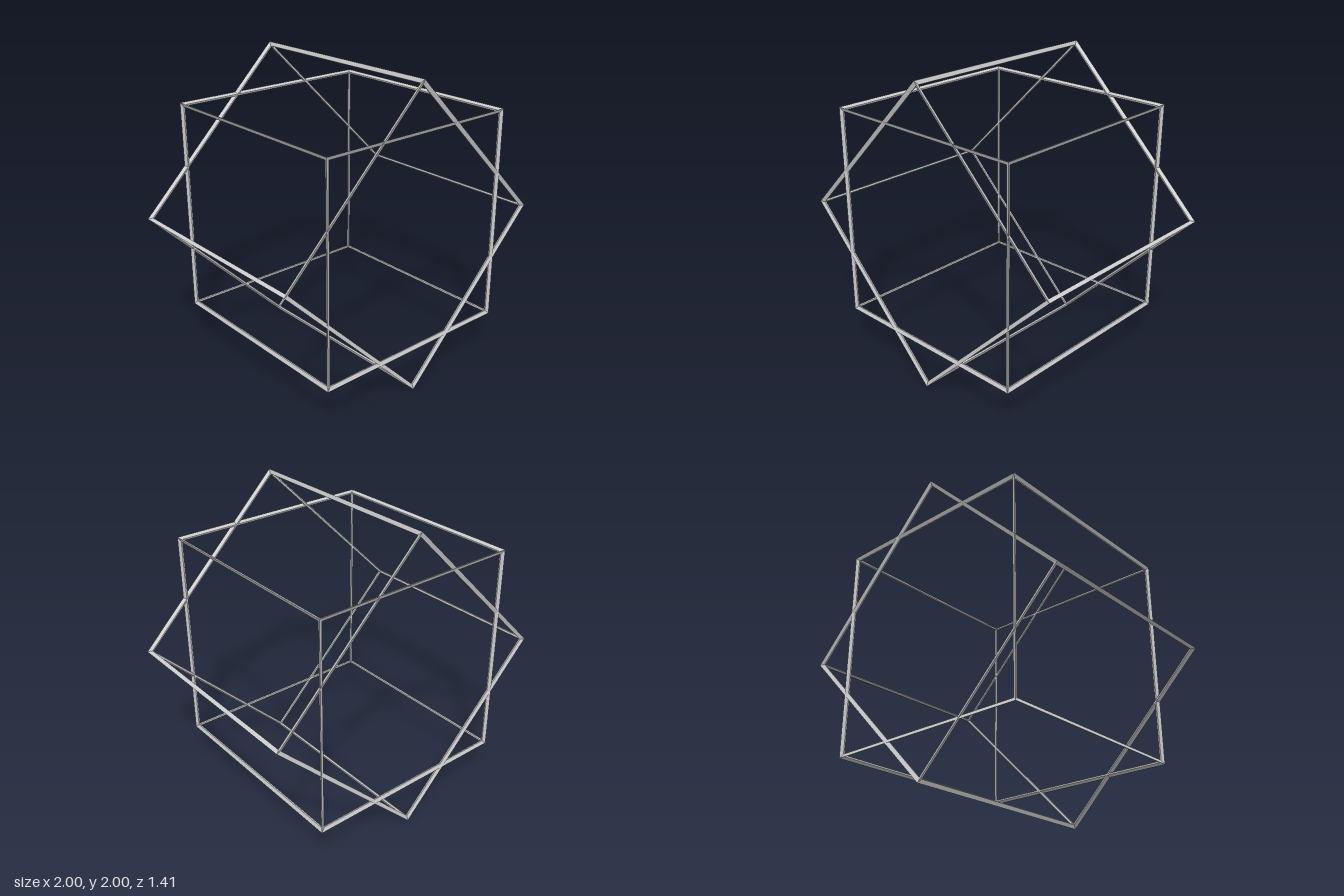
import * as THREE from 'three';
import { mergeGeometries } from 'three/addons/utils/BufferGeometryUtils.js';

const HALF = Math.SQRT1_2; // half side of each cube frame
const RIDGE = 0.011;       // ridge offset of the kite-shaped bar section
const INSET = 0.0134;      // how far the bar reaches into each face

// One face of the frame: a square funnel from the outer ridge to the inner ridge
function faceGeometry() {
  const base = HALF - RIDGE;
  const profile = [
    [HALF, HALF],
    [base - INSET, base],
    [base - RIDGE, base - RIDGE],
  ].map(([r, y]) => new THREE.Vector2(r * Math.SQRT2, y));
  const geometry = new THREE.LatheGeometry(profile, 4, Math.PI / 4).toNonIndexed();
  geometry.computeVertexNormals();
  return geometry;
}

// Six faces meet along their ridges and make twelve closed bars
function cubeFrameGeometry() {
  const faces = [];
  for (let i = 0; i < 4; i++) faces.push(faceGeometry().rotateX((i * Math.PI) / 2));
  for (const s of [-1, 1]) faces.push(faceGeometry().rotateZ((s * Math.PI) / 2));
  return mergeGeometries(faces);
}

export function createModel() {
  const group = new THREE.Group();
  group.name = 'interlockedCubeFrames';
  const material = new THREE.MeshStandardMaterial({ color: 0xcccccc, flatShading: true });
  const geometry = cubeFrameGeometry();

  // Upright cube and the same cube turned onto its edge
  for (const [name, angle] of [['uprightCubeFrame', 0], ['tiltedCubeFrame', Math.PI / 4]]) {
    const frame = new THREE.Mesh(geometry, material);
    frame.name = name;
    frame.position.y = 1;
    frame.rotation.z = angle;
    group.add(frame);
  }
  return group;
}
